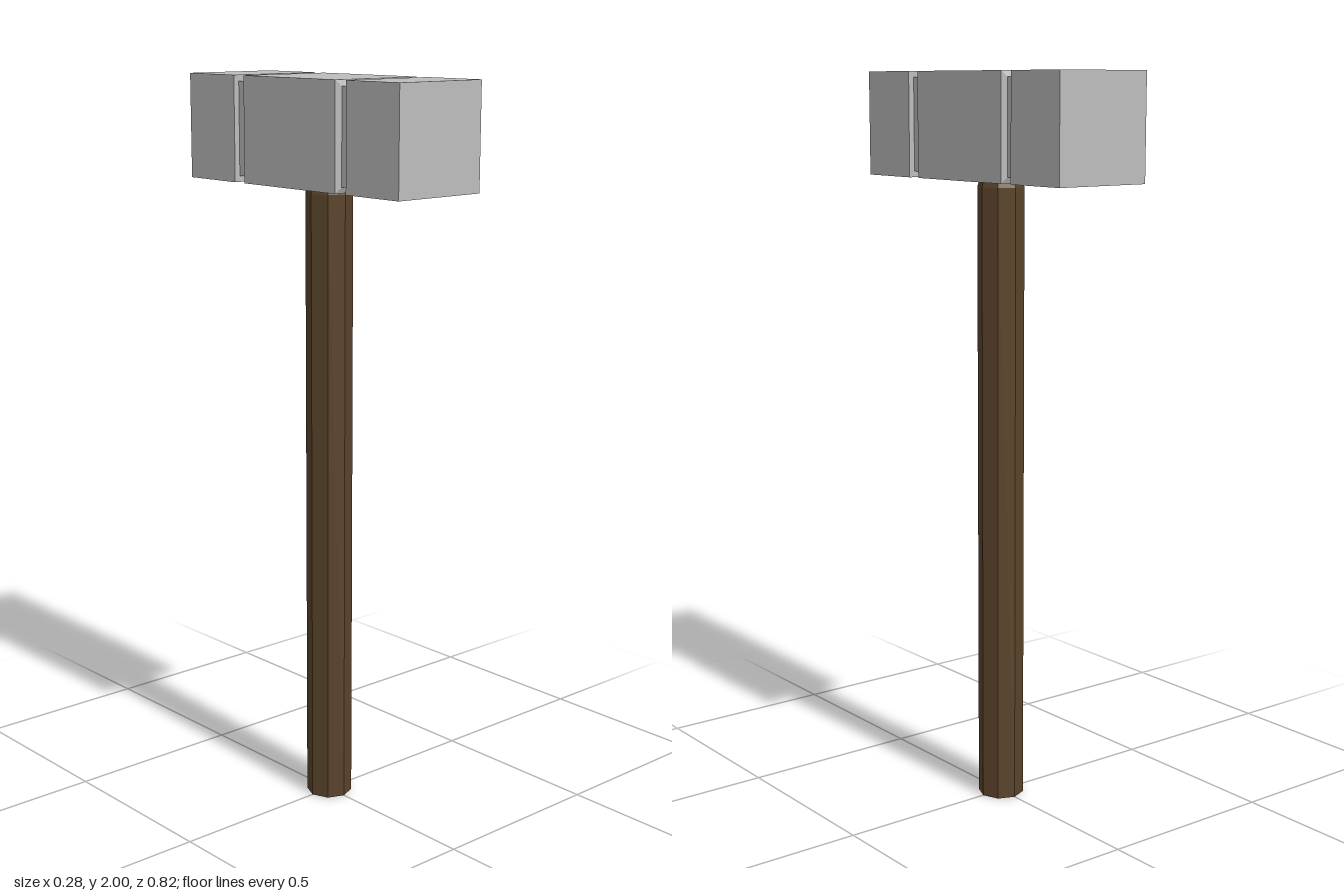
import * as THREE from 'three';

const stone = new THREE.MeshStandardMaterial({ color: 0xbdbdbd });
stone.name = 'stone grey';
const wood = new THREE.MeshStandardMaterial({ color: 0x5a432a });
wood.name = 'dark wood';

// Faceted prism turned from a profile of [radius, height] points
function facetedPrism(profile, sides, startAngle) {
  const points = profile.map(([r, h]) => new THREE.Vector2(r, h));
  const geometry = new THREE.LatheGeometry(points, sides, startAngle).toNonIndexed();
  geometry.computeVertexNormals();
  return geometry;
}

function addPart(group, name, geometry, material) {
  const mesh = new THREE.Mesh(geometry, material);
  mesh.name = name;
  group.add(mesh);
  return mesh;
}

export function createModel() {
  const model = new THREE.Group();
  model.name = 'hammer';

  // Square head: end blocks, recessed necks and a chamfered middle block
  const half = 0.14, neck = 0.124;
  const side = [[half, 0.18], [neck, 0.187], [neck, 0.22], [half, 0.22], [half, 0.41], [0, 0.41]];
  const mirrored = side.map(([r, z]) => [r, -z]).reverse();
  const profile = [...mirrored, ...side].map(([r, z]) => [r * Math.SQRT2, z]);
  const headGeometry = facetedPrism(profile, 4, Math.PI / 4);
  headGeometry.rotateX(Math.PI / 2);
  addPart(model, 'head', headGeometry, stone).position.y = 2 - half;

  // Eight-sided handle, narrowed where it enters the head
  const handleProfile = [[0, 0], [0.063, 0], [0.063, 1.7], [0.055, 1.725], [0, 1.725]];
  addPart(model, 'handle', facetedPrism(handleProfile, 8, 0), wood);

  return model;
}
